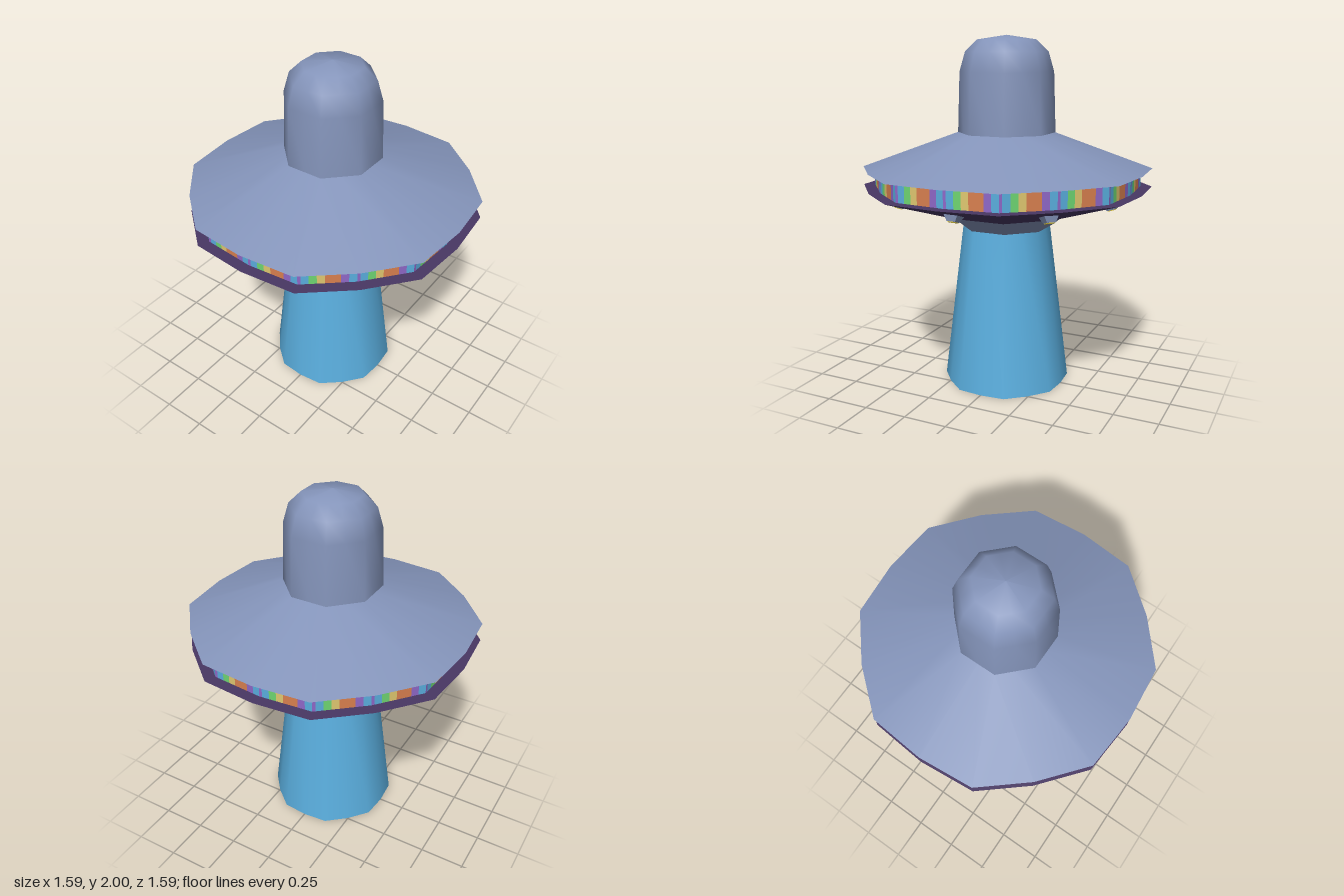
import * as THREE from 'three';

const mat = (name, color, side = THREE.FrontSide) => {
  const m = new THREE.MeshStandardMaterial({ color, side });
  m.name = name;
  return m;
};

const SIDES = 16;
const WIDE = 0.958;  // edge-middle to corner ratio of the wide saucer outline
const OCT = 0.924;   // the same ratio for a true octagon

// Point of a 16-point outline whose corners lie between the main axes
function outlinePoint(i, y, radius, ratio) {
  const a = (i / SIDES) * Math.PI * 2;
  const r = radius * (i % 2 ? 1 : ratio);
  return new THREE.Vector3(Math.sin(a) * r, y, Math.cos(a) * r);
}

// Smooth skin through rings [y, corner radius, ratio], ordered bottom, outside, top
function loft(name, rings, material) {
  const positions = [], index = [];
  rings.forEach(([y, radius, ratio]) => {
    for (let i = 0; i < SIDES; i++) positions.push(...outlinePoint(i, y, radius, ratio).toArray());
  });
  for (let k = 0; k < rings.length - 1; k++) {
    for (let i = 0; i < SIDES; i++) {
      const a = k * SIDES + i, b = k * SIDES + (i + 1) % SIDES;
      const c = b + SIDES, d = a + SIDES;
      if (rings[k][1] > 0) index.push(a, b, d);
      if (rings[k + 1][1] > 0) index.push(b, c, d);
    }
  }
  const g = new THREE.BufferGeometry();
  g.setAttribute('position', new THREE.Float32BufferAttribute(positions, 3));
  g.setIndex(index);
  g.computeVertexNormals();
  const mesh = new THREE.Mesh(g, material);
  mesh.name = name;
  return mesh;
}

// Coloured light band: each facet repeats one row of stripes
function lightBand(colors) {
  const group = new THREE.Group();
  group.name = 'lightBand';
  const row = [['violet', 0.4], ['blue', 1], ['green', 1], ['yellow', 1], ['orange', 2], ['violet', 1], ['blue', 1]];
  const total = row.reduce((sum, s) => sum + s[1], 0);
  const faces = {};
  for (let i = 0; i < SIDES; i++) {
    const start = outlinePoint(i, 1.155, 0.765, WIDE);
    const end = outlinePoint(i + 1, 1.155, 0.765, WIDE);
    let t = 0;
    for (const [color, width] of row) {
      const p = start.clone().lerp(end, t / total);
      t += width;
      const q = start.clone().lerp(end, t / total);
      const a = [p.x, 1.155, p.z], b = [q.x, 1.155, q.z];
      const c = [q.x, 1.262, q.z], d = [p.x, 1.262, p.z];
      (faces[color] ??= []).push(...a, ...b, ...c, ...a, ...c, ...d);
    }
  }
  for (const [color, positions] of Object.entries(faces)) {
    const g = new THREE.BufferGeometry();
    g.setAttribute('position', new THREE.Float32BufferAttribute(positions, 3));
    g.computeVertexNormals();
    const mesh = new THREE.Mesh(g, colors[color]);
    mesh.name = color + 'Stripes';
    group.add(mesh);
  }
  return group;
}

// Small four-sided lamp housing with a glowing plate, pointing along -y
function lamp(housing, glow) {
  const group = new THREE.Group();
  group.name = 'lamp';
  const shell = new THREE.CylinderGeometry(0.06, 0.034, 0.04, 4, 1).toNonIndexed();
  shell.rotateY(Math.PI / 4);
  shell.computeVertexNormals();
  const body = new THREE.Mesh(shell, housing);
  body.name = 'lampHousing';
  body.position.y = -0.012;
  const bulb = new THREE.Mesh(new THREE.BoxGeometry(0.042, 0.006, 0.042), glow);
  bulb.name = 'lampGlow';
  bulb.position.y = -0.033;
  group.add(body, bulb);
  return group;
}

export function createModel() {
  const model = new THREE.Group();
  model.name = 'flyingSaucer';
  const steel = mat('steel blue', 0x8494ba);
  const hull = mat('dark purple', 0x483763);
  const beamBlue = mat('beam blue', 0x5aaede, THREE.DoubleSide);
  const colors = {
    violet: mat('violet', 0x8f68c8),
    blue: beamBlue,
    green: mat('green', 0x6fd672),
    yellow: mat('pale yellow', 0xe0c870),
    orange: mat('orange', 0xd9804f),
  };
  const glow = mat('lamp yellow', 0xd8c23c);

  model.add(
    // Light beam, open at the bottom
    loft('beam', [[0, 0.366, WIDE], [0.94, 0.25, WIDE]], beamBlue),
    // Collar around the top of the beam
    loft('collarBase', [[0.925, 0, OCT], [0.925, 0.265, OCT]], steel),
    loft('collar', [[0.925, 0.265, OCT], [1.012, 0.38, OCT]], steel),
    // Lower hull and its flat rim
    loft('lowerHull', [[1.012, 0.38, OCT], [1.155, 0.83, WIDE]], hull),
    loft('lowerRim', [[1.155, 0.83, WIDE], [1.156, 0.74, WIDE]], hull),
    lightBand(colors),
    // Upper hull and the underside of its eave
    loft('upperRim', [[1.261, 0.74, WIDE], [1.26, 0.83, WIDE]], steel),
    loft('upperHull', [[1.26, 0.83, WIDE], [1.462, 0.277, OCT]], steel),
    // Rounded octagonal dome
    loft('dome', [[1.462, 0.277, OCT], [1.8, 0.265, OCT], [1.91, 0.233, OCT],
      [1.975, 0.166, OCT], [2, 0, OCT]], steel),
  );

  // Ring of eight lamps set into the sloping lower hull
  for (let i = 0; i < 8; i++) {
    const arm = new THREE.Group();
    arm.name = 'lampArm';
    arm.rotation.y = (i / 8) * Math.PI * 2;
    const unit = lamp(steel, glow);
    unit.position.set(0, 1.1, 0.625);
    unit.rotation.x = -0.32;
    arm.add(unit);
    model.add(arm);
  }
  return model;
}
